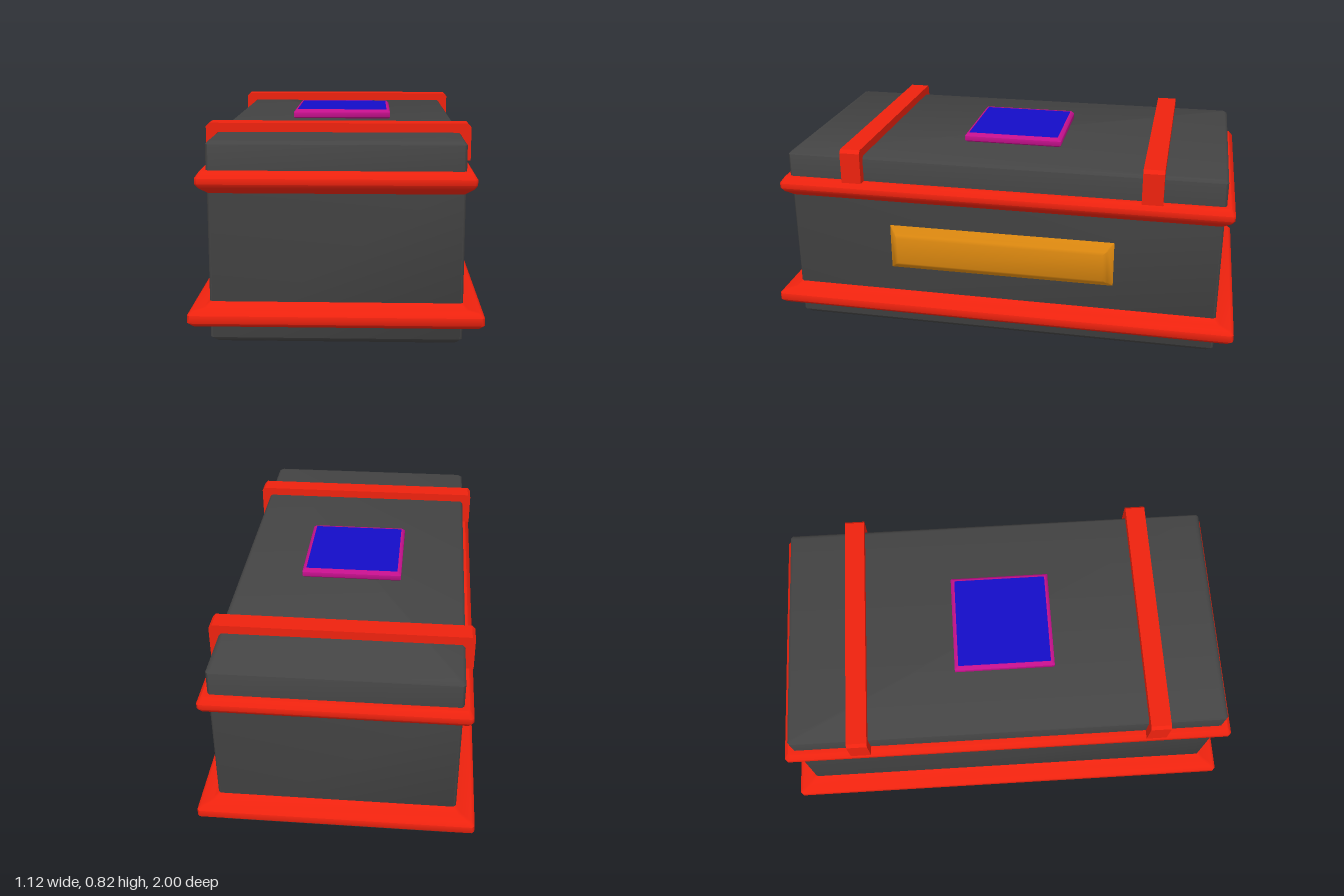
import * as THREE from 'three';
import { toCreasedNormals } from 'three/addons/utils/BufferGeometryUtils.js';

const HX = 0.485, HZ = 0.925;

function mat(color) {
  return new THREE.MeshStandardMaterial({ color, side: THREE.DoubleSide });
}

// Sweeps a profile of [outward offset, height] around a rectangle with clipped corners
function rectLoft(hx, hz, profile, capped, clip = 0.01) {
  const pos = [];
  const rings = profile.map(([o, y]) => {
    const x = hx + o, z = hz + o, c = clip;
    return [[x, z - c], [x, -z + c], [x - c, -z], [-x + c, -z],
      [-x, -z + c], [-x, z - c], [-x + c, z], [x - c, z]].map(([px, pz]) => [px, y, pz]);
  });
  const tri = (a, b, c) => pos.push(...a, ...b, ...c);
  for (let r = 0; r < rings.length - 1; r++) {
    for (let i = 0; i < 8; i++) {
      const j = (i + 1) % 8, lo = rings[r], hi = rings[r + 1];
      tri(lo[i], lo[j], hi[j]);
      tri(lo[i], hi[j], hi[i]);
    }
  }
  if (capped) {
    const lo = rings[0], hi = rings[rings.length - 1];
    for (let i = 1; i < 7; i++) {
      tri(lo[0], lo[i + 1], lo[i]);
      tri(hi[0], hi[i], hi[i + 1]);
    }
  }
  const g = new THREE.BufferGeometry();
  g.setAttribute('position', new THREE.Float32BufferAttribute(pos, 3));
  return toCreasedNormals(g, 0.9);
}

export function createModel() {
  const model = new THREE.Group();
  const grey = mat(0x444444), red = mat(0xee220e), orange = mat(0xd9860f);
  const magenta = mat(0xc4108c), blue = mat(0x140cc8);
  const add = (name, geometry, material) => {
    const m = new THREE.Mesh(geometry, material);
    m.name = name;
    model.add(m);
    return m;
  };

  // Case and lid
  add('body', rectLoft(HX, HZ, [[-0.02, 0], [0, 0.02], [0, 0.63]], true), grey);
  add('lid', rectLoft(HX + 0.002, HZ + 0.004, [[0, 0.63], [0, 0.773], [-0.012, 0.785]], true), grey);

  // Mouldings around the case
  add('lowerRim', rectLoft(HX, HZ, [[0, 0.065], [0.022, 0.085], [0.065, 0.085], [0.08, 0.1],
    [0.08, 0.13], [0.065, 0.145], [0.022, 0.145], [0, 0.165]].map(([o, y]) => [o * 0.95, y]), false), red);
  add('upperRim', rectLoft(HX, HZ, [[0, 0.588], [0.03, 0.612], [0.04, 0.628], [0.04, 0.65],
    [0.022, 0.675], [0, 0.675]], false), red);

  // Straps over the lid
  const s = new THREE.Shape();
  [[-0.525, 0.675], [-0.488, 0.675], [-0.488, 0.774], [-0.476, 0.786], [0.476, 0.786], [0.488, 0.774],
    [0.488, 0.675], [0.525, 0.675], [0.525, 0.808], [0.512, 0.822], [-0.512, 0.822], [-0.525, 0.808]]
    .forEach(([x, y], i) => (i ? s.lineTo(x, y) : s.moveTo(x, y)));
  const strap = new THREE.ExtrudeGeometry(s, { depth: 0.086, bevelEnabled: false });
  strap.translate(0, 0, -0.043);
  for (const z of [-0.635, 0.635]) {
    add(z > 0 ? 'frontStrap' : 'backStrap', strap, red).position.z = z;
  }

  // Side panel, raised from the +x wall
  const panel = add('sidePanel', rectLoft(0.1, 0.487,
    [[0, 0], [-0.022, 0.024], [-0.03, 0.036], [-0.042, 0.045]], true, 0.003), orange);
  panel.rotation.z = -Math.PI / 2;
  panel.position.set(HX, 0.377, 0);

  // Square badge on the lid: frame and inset plate
  add('badgeFrame', rectLoft(0.2, 0.2, [[0.008, 0.785], [0.014, 0.791], [0.014, 0.811],
    [0.002, 0.824], [-0.002, 0.824], [-0.002, 0.815]], false, 0.003), magenta);
  const plate = add('badgePlate', new THREE.BoxGeometry(0.398, 0.036, 0.398), blue);
  plate.position.y = 0.804;

  return model;
}
